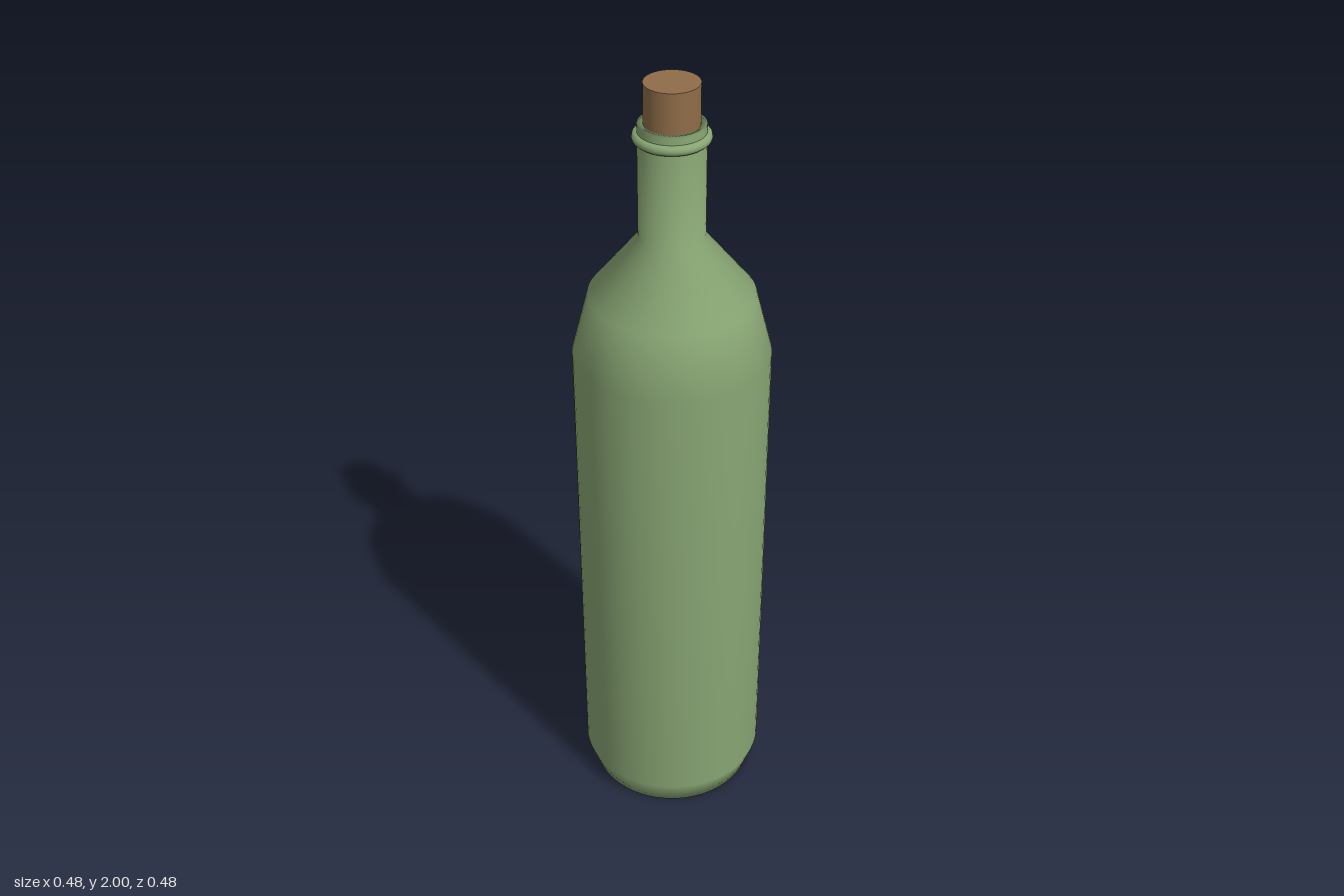
import * as THREE from 'three';
import { mergeVertices } from 'three/addons/utils/BufferGeometryUtils.js';

const SEGMENTS = 64;

// Revolve [radius, height] points, with one continuous smooth skin
function revolve(points) {
  const lathe = new THREE.LatheGeometry(points.map(([r, y]) => new THREE.Vector2(r, y)), SEGMENTS);
  lathe.deleteAttribute('uv');
  lathe.deleteAttribute('normal');
  const geometry = mergeVertices(lathe, 1e-5);
  geometry.computeVertexNormals();
  return geometry;
}

export function createModel() {
  const model = new THREE.Group();
  model.name = 'corkedBottle';

  const glass = new THREE.MeshStandardMaterial({ color: 0x88a573 });
  glass.name = 'greenGlass';
  const corkBrown = new THREE.MeshStandardMaterial({ color: 0x8f6d48 });
  corkBrown.name = 'corkBrown';

  const add = (name, geometry, material, y = 0) => {
    const mesh = new THREE.Mesh(geometry, material);
    mesh.name = name;
    mesh.position.y = y;
    model.add(mesh);
    return mesh;
  };

  // Base, body, shoulder, neck and the rim turning in around the cork
  add('bottle', revolve([
    [0, 0], [0.215, 0], [0.238, 0.07], [0.238, 1.325], [0.198, 1.48],
    [0.078, 1.63], [0.078, 1.905], [0.062, 1.905], [0.062, 1.86],
  ]), glass);

  // Rounded ring just below the rim
  const ring = new THREE.TorusGeometry(0.078, 0.012, 12, SEGMENTS);
  ring.rotateX(Math.PI / 2);
  add('neckRing', ring, glass, 1.875);

  // Cork, pushed partway into the neck
  add('cork', new THREE.CylinderGeometry(0.064, 0.064, 0.2, SEGMENTS), corkBrown, 1.9);

  return model;
}
